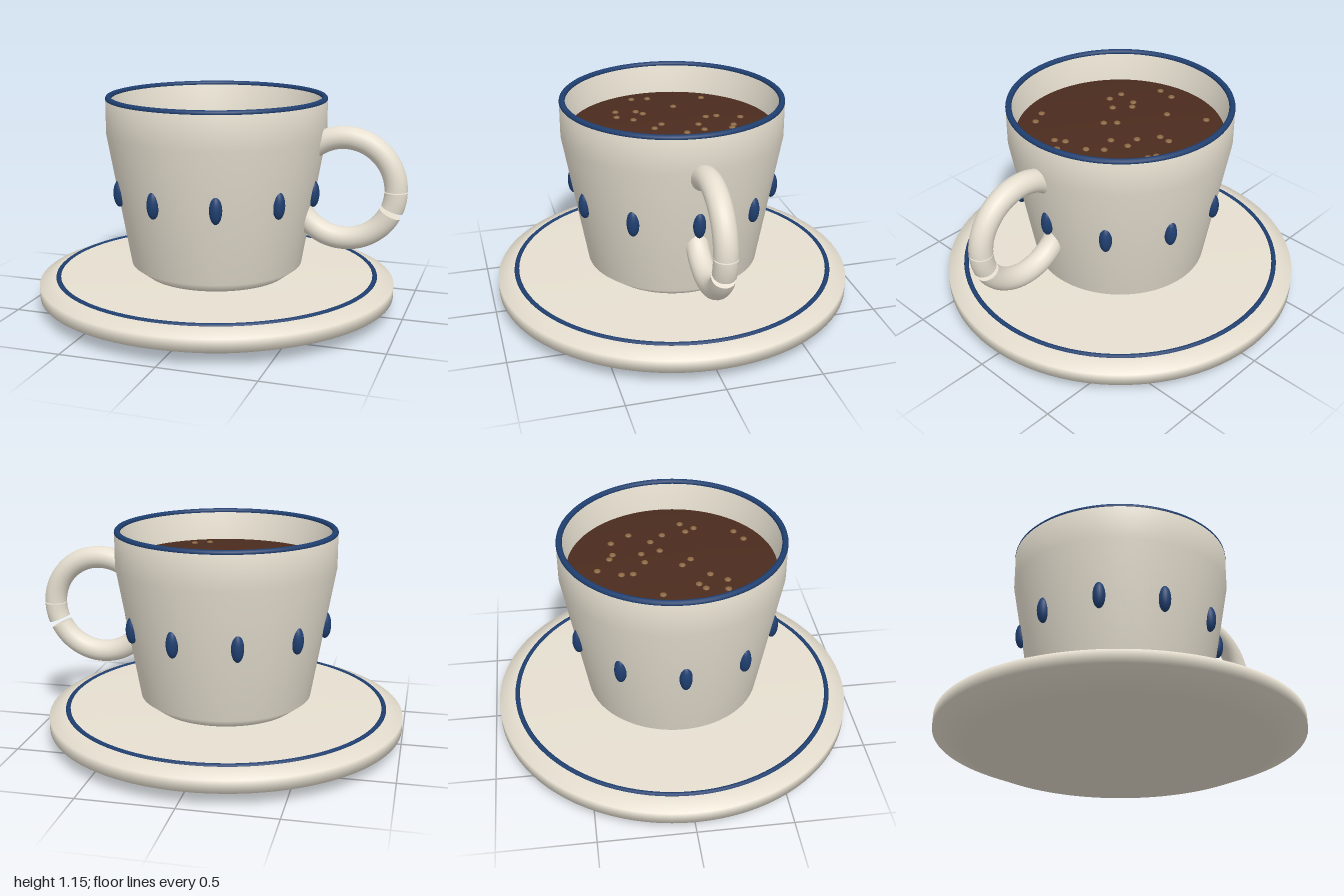
import * as THREE from 'three';

const mat = (color, side = THREE.FrontSide) => new THREE.MeshStandardMaterial({ color, side });
const cream = mat(0xe6dfd0);
const blue = mat(0x1f3f70);
const coffeeBrown = mat(0x4b2c1e);
const foamBrown = mat(0x8a6642);

function add(parent, name, geometry, material) {
  const mesh = new THREE.Mesh(geometry, material);
  mesh.name = name;
  parent.add(mesh);
  return mesh;
}

// Profile points run from the bottom centre, up the outside and back inwards
const lathe = (points) =>
  new THREE.LatheGeometry(points.map(([r, y]) => new THREE.Vector2(r, y)), 96);

function addRing(parent, name, radius, tube, y) {
  const ring = add(parent, name, new THREE.TorusGeometry(radius, tube, 12, 96), blue);
  ring.rotation.x = Math.PI / 2;
  ring.position.y = y;
}

// A bent round bar with closed ends, from one angle to another
function addBar(parent, name, from, to) {
  const R = 0.268, tube = 0.06;
  const bar = new THREE.Group();
  bar.name = name;
  bar.rotation.z = from;
  add(bar, name + 'Bar', new THREE.TorusGeometry(R, tube, 20, 48, to - from), cream);
  for (const [angle, turn] of [[0, Math.PI / 2], [to - from, -Math.PI / 2]]) {
    const end = new THREE.CircleGeometry(tube, 20);
    end.rotateX(turn).translate(R, 0, 0).rotateZ(angle);
    add(bar, name + 'End', end, cream);
  }
  parent.add(bar);
}

export function createModel() {
  const model = new THREE.Group();
  model.name = 'cupAndSaucer';
  const set = new THREE.Group();
  set.name = 'tableSet';
  set.position.x = -0.032;
  model.add(set);

  // Saucer
  add(set, 'saucer', lathe([
    [0, 0], [0.79, 0], [0.968, 0.075], [0.968, 0.142], [0.87, 0.175], [0, 0.175],
  ]), cream);
  addRing(set, 'saucerRing', 0.866, 0.014, 0.169);

  // Cup with an open, hollow inside
  add(set, 'cup', lathe([
    [0, 0.178], [0.39, 0.178], [0.465, 0.235], [0.59, 0.95], [0.59, 1.13],
    [0.56, 1.13], [0.545, 0.95], [0.43, 0.28], [0, 0.26],
  ]), cream);
  addRing(set, 'rimRing', 0.575, 0.016, 1.135);

  // Coffee, softly shaded over its edge
  add(set, 'coffee', lathe([[0.54, 0.9], [0.547, 0.975], [0, 0.975]]), coffeeBrown);

  // Foam bubbles as x, z pairs on the coffee
  const bubbles = [
    [-0.06, -0.39], [-0.41, -0.27], [-0.11, -0.27], [-0.11, -0.21], [0.04, -0.32], [0.08, -0.30],
    [0.19, -0.30], [0.26, -0.20], [-0.01, -0.14], [0.07, -0.15], [0.18, -0.09], [0.09, -0.05],
    [0.24, -0.02], [-0.31, -0.08], [-0.47, 0.03], [-0.48, 0.12], [-0.06, 0.05], [-0.01, 0.10],
    [-0.24, 0.11], [-0.28, 0.14], [-0.16, 0.18], [-0.30, 0.25], [-0.22, 0.26], [0.26, 0.11],
    [0.34, 0.09], [0.29, 0.16], [0.23, 0.37], [0.15, 0.41],
  ];
  const bubbleShape = new THREE.SphereGeometry(0.018, 12, 8).scale(1, 0.5, 1);
  const foam = new THREE.Group();
  foam.name = 'foamBubbles';
  for (const [x, z] of bubbles) {
    add(foam, 'foamBubble', bubbleShape, foamBrown).position.set(x + 0.032, 0.978, z);
  }
  set.add(foam);

  // Ten raised drops around the cup
  const dropShape = new THREE.SphereGeometry(0.033, 20, 14).scale(1, 2.2, 1);
  for (let i = 0; i < 10; i++) {
    const a = ((18 + 36 * i) * Math.PI) / 180;
    const drop = add(set, 'drop', dropShape, blue);
    drop.position.set(0.537 * Math.sin(a), 0.647, 0.537 * Math.cos(a));
  }

  // Handle: upper arc, short middle piece and lower arc
  const handle = new THREE.Group();
  handle.name = 'handle';
  handle.position.set(0.704, 0.688, 0);
  addBar(handle, 'upperHandle', 0.01, 2.5);
  addBar(handle, 'middleHandle', -0.36, -0.01);
  addBar(handle, 'lowerHandle', -2.8, -0.46);
  set.add(handle);

  return model;
}
